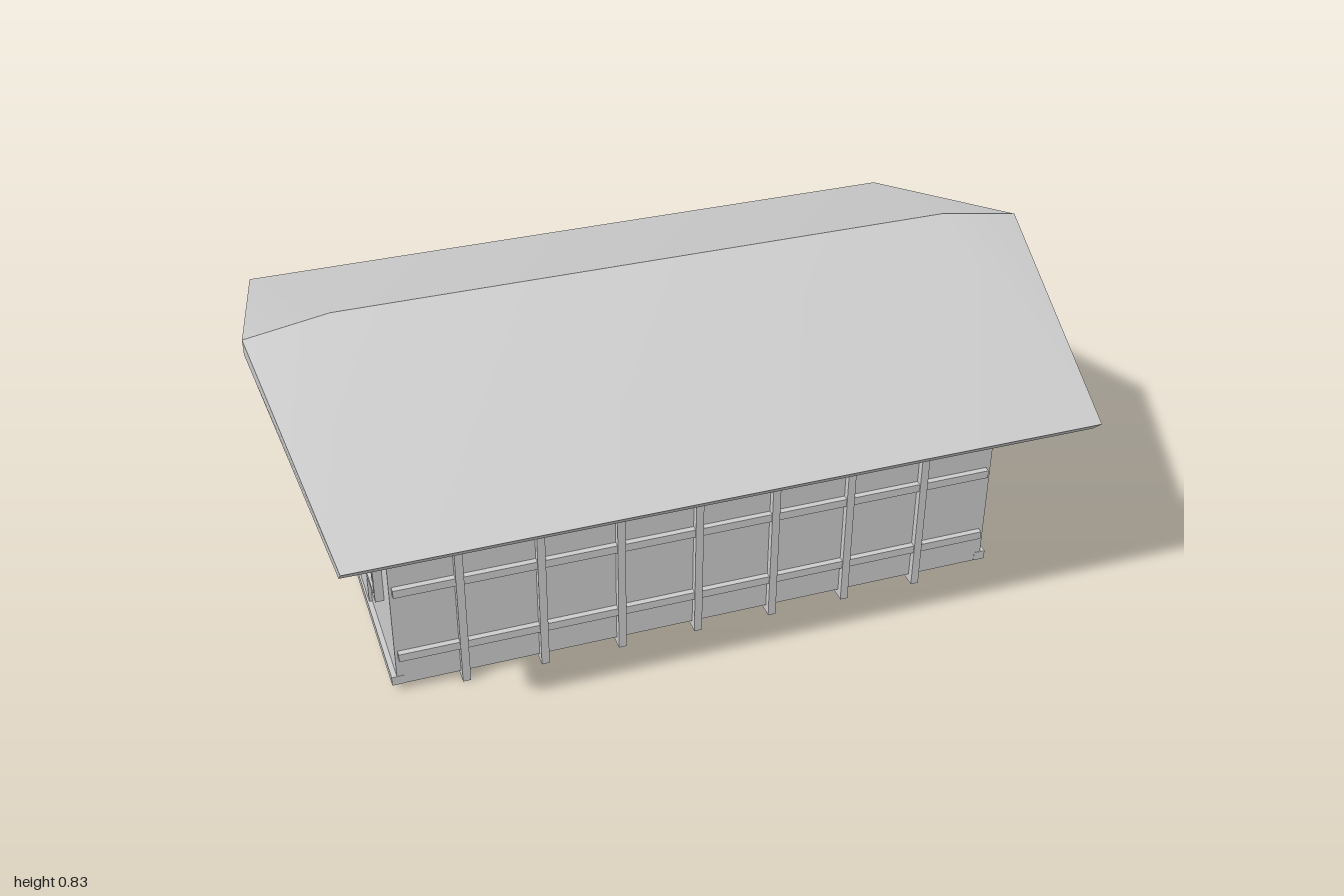
import * as THREE from 'three';
import { toCreasedNormals } from 'three/addons/utils/BufferGeometryUtils.js';

const grey = new THREE.MeshStandardMaterial({ color: 0xcccccc, side: THREE.DoubleSide });

// Box given by its extents along each axis
function box(parent, name, x0, x1, y0, y1, z0, z1) {
  const mesh = new THREE.Mesh(
    new THREE.BoxGeometry(Math.abs(x1 - x0), Math.abs(y1 - y0), Math.abs(z1 - z0)), grey);
  mesh.position.set((x0 + x1) / 2, (y0 + y1) / 2, (z0 + z1) / 2);
  mesh.name = name;
  parent.add(mesh);
  return mesh;
}

// Roof slab lofted through four sections; the ridge dips towards both tips
function makeRoof() {
  const stations = [[-1, 0.80, -0.912], [-0.79, 0.835, -0.912], [0.79, 0.835, 0.912], [1, 0.80, 0.912]];
  const rings = stations.map(([xr, yr, xe]) => [
    [xe, 0.585, 0.665], [xr, yr, 0], [xe, 0.585, -0.665],
    [xe, 0.55, -0.63], [xr, yr - 0.04, 0], [xe, 0.55, 0.63],
  ]);
  const pos = [];
  const tri = (a, b, c) => {
    const area = new THREE.Triangle(...[a, b, c].map(p => new THREE.Vector3(...p))).getArea();
    if (area > 1e-7) pos.push(...a, ...b, ...c);
  };
  const quad = (a, b, c, d) => { tri(a, b, c); tri(a, c, d); };
  for (let i = 0; i < 3; i++) {
    for (let j = 0; j < 6; j++) {
      const k = (j + 1) % 6;
      quad(rings[i][j], rings[i + 1][j], rings[i + 1][k], rings[i][k]);
    }
  }
  // Gable edges
  const [l, r] = [rings[0], rings[3]];
  quad(l[0], l[1], l[4], l[5]);
  quad(l[1], l[2], l[3], l[4]);
  quad(r[5], r[4], r[1], r[0]);
  quad(r[4], r[3], r[2], r[1]);
  const geo = new THREE.BufferGeometry();
  geo.setAttribute('position', new THREE.Float32BufferAttribute(pos, 3));
  const mesh = new THREE.Mesh(toCreasedNormals(geo, 0.35), grey);
  mesh.name = 'roof';
  return mesh;
}

const outline = pts => pts.map(([x, y]) => new THREE.Vector2(x, y));
const niches = [
  [[-0.36, 0.45], [-0.11, 0.43], [0.11, 0.43], [0.36, 0.45],
    [0.075, 0.57], [0.075, 0.63], [-0.075, 0.63], [-0.075, 0.57]],
  [[-0.075, 0.655], [0.075, 0.655], [0.075, 0.735], [0, 0.758], [-0.075, 0.735]],
];

// Extrudes a z-y outline along x, from x0 to x0 + depth
function slab(parent, name, shape, x0, depth) {
  const geo = new THREE.ExtrudeGeometry(shape, { depth, bevelEnabled: false });
  geo.rotateY(Math.PI / 2);
  const mesh = new THREE.Mesh(geo, grey);
  mesh.position.x = x0;
  mesh.name = name;
  parent.add(mesh);
}

// Gable end on side s (+1 left, -1 right), with sunken panels in the gable
function makeEnd(s) {
  const g = new THREE.Group();
  g.name = s > 0 ? 'leftEnd' : 'rightEnd';
  const wall = new THREE.Shape(outline([[-0.405, 0.02], [0.405, 0.02], [0.405, 0.635], [0, 0.78], [-0.405, 0.635]]));
  niches.forEach(n => wall.holes.push(new THREE.Path(outline(n))));
  const span = (outer, depth) => (s > 0 ? outer - depth : -outer);
  slab(g, 'gableWall', wall, span(0.777, 0.045), 0.045);
  niches.forEach(n => slab(g, 'nichePanel', new THREE.Shape(outline(n)), span(0.732, 0.01), 0.01));
  box(g, 'endDoor', s * 0.76, s * 0.785, 0.02, 0.39, -0.11, 0.11);
  box(g, 'endBaseBeam', s * 0.76, s * 0.79, 0.02, 0.045, -0.435, 0.41);
  box(g, 'endMiddleBeam', s * 0.76, s * 0.787, 0.385, 0.425, -0.435, 0.402);
  return g;
}

// Framed window with glazing bars, centred, facing +z; the casing reaches back through the wall
function makeWindow(name, w, h, back) {
  const g = new THREE.Group();
  g.name = name;
  const t = 0.12 * w, x = w / 2, y = h / 2;
  box(g, 'casing', -x + t / 2, x - t / 2, -y + t / 2, y - t / 2, -back, 0.004);
  for (const s of [-1, 1]) {
    box(g, 'frameSide', s * x, s * (x - t), -y, y, -0.01, 0.022);
    box(g, 'frameRail', -x, x, s * y, s * (y - t), -0.01, 0.022);
  }
  box(g, 'mullion', -t * 0.4, t * 0.4, -y, y, 0, 0.016);
  box(g, 'transom', -x, x, h * 0.12, h * 0.12 + t * 0.7, 0, 0.016);
  return g;
}

export function createModel() {
  const model = new THREE.Group();
  model.name = 'house';
  model.add(makeRoof(), makeEnd(1), makeEnd(-1));

  // Front wall with its timber grid
  const front = new THREE.Group();
  front.name = 'frontWall';
  model.add(front);
  box(front, 'frontPanel', -0.777, 0.777, 0.02, 0.635, 0.4, 0.409);
  for (let i = -3; i <= 3; i++) {
    const x = -0.013 + i * 0.199;
    box(front, 'post', x - 0.01, x + 0.01, 0, 0.63, 0.388, 0.427);
  }
  for (const y of [0.112, 0.307, 0.505]) {
    box(front, 'rail', -0.77, 0.765, y - 0.011, y + 0.011, 0.39, 0.424);
  }

  // Back wall with boards, beams and door
  const back = new THREE.Group();
  back.name = 'backWall';
  model.add(back);
  box(back, 'backUpperWall', -0.777, 0.777, 0.4, 0.635, -0.407, -0.39);
  box(back, 'backLowerWall', -0.777, 0.777, 0.02, 0.41, -0.418, -0.39);
  box(back, 'backBaseBeam', -0.79, 0.79, 0.02, 0.045, -0.438, -0.4);
  box(back, 'backMiddleBeam', -0.787, 0.787, 0.4, 0.425, -0.438, -0.4);
  box(back, 'backDoor', -0.04, 0.18, 0.04, 0.4, -0.426, -0.4);
  for (const x of [0.48, -0.28, -0.51]) {
    const w = makeWindow('backWindow', 0.205, 0.2, 0.04);
    w.rotation.y = Math.PI;
    w.position.set(x, 0.3, -0.42);
    back.add(w);
  }

  // Small windows in the right end
  for (const z of [-0.26, 0.26]) {
    const w = makeWindow('endWindow', 0.13, 0.14, 0.08);
    w.rotation.y = -Math.PI / 2;
    w.position.set(-0.777, 0.285, z);
    model.add(w);
  }
  return model;
}
